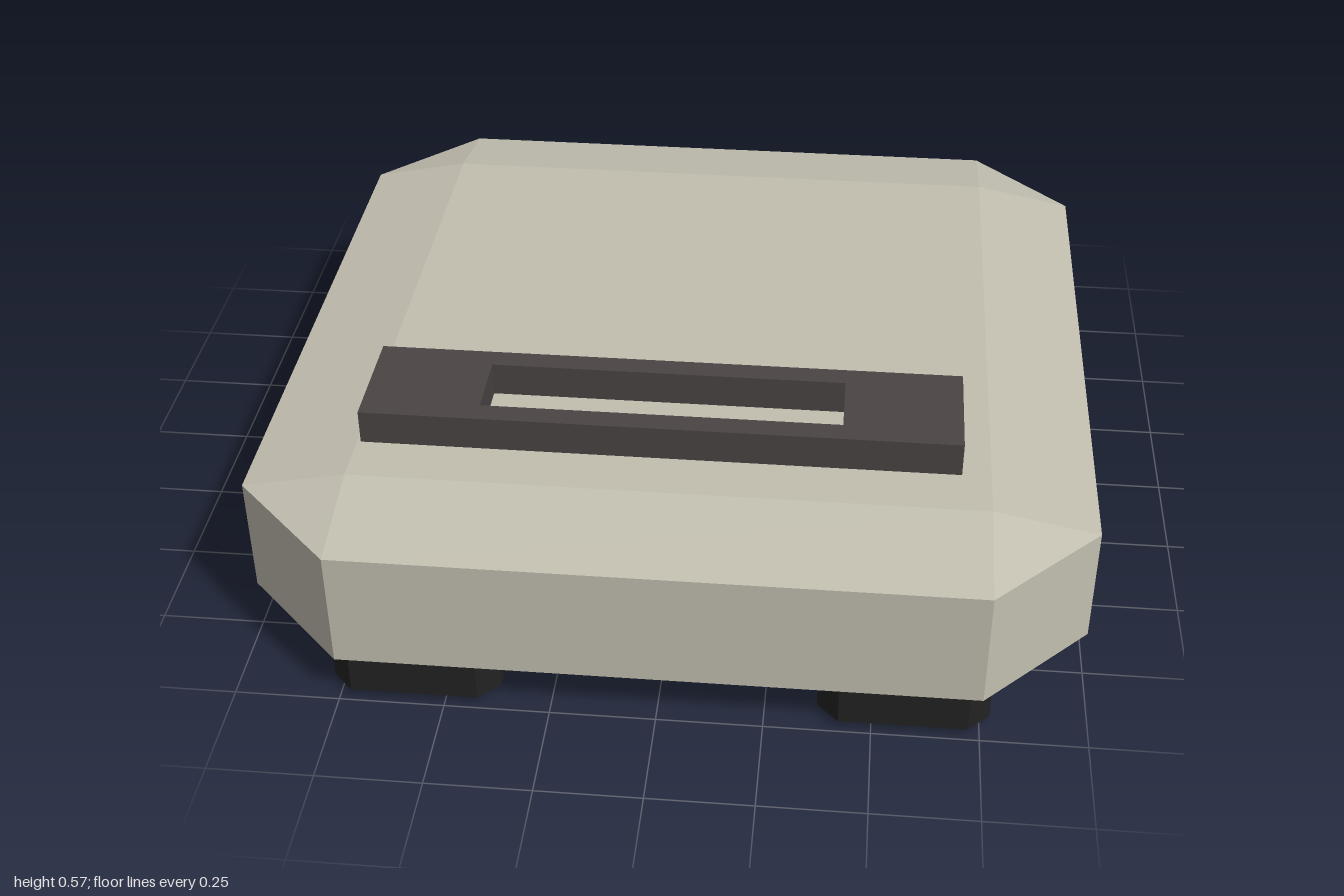
import * as THREE from 'three';
import { ConvexGeometry } from 'three/addons/geometries/ConvexGeometry.js';

// Box centred on x and z, with every edge and corner cut flat:
// cut is the inset in x and z, cutY the inset in y.
function chamferedBox(width, y0, y1, cut, cutY) {
  const points = [];
  const h = width / 2;
  for (const sx of [-1, 1]) for (const sz of [-1, 1]) {
    for (const [y, inward] of [[y0, 1], [y1, -1]]) {
      points.push(
        new THREE.Vector3(sx * h, y + inward * cutY, sz * (h - cut)),
        new THREE.Vector3(sx * (h - cut), y + inward * cutY, sz * h),
        new THREE.Vector3(sx * (h - cut), y, sz * (h - cut)),
      );
    }
  }
  return new ConvexGeometry(points);
}

const material = (color) => new THREE.MeshStandardMaterial({ color, flatShading: true });

function rectangle(PathType, x0, x1, z0, z1) {
  const path = new PathType();
  path.moveTo(x0, -z1);
  path.lineTo(x1, -z1);
  path.lineTo(x1, -z0);
  path.lineTo(x0, -z0);
  path.closePath();
  return path;
}

export function createModel() {
  const group = new THREE.Group();
  const add = (name, geometry, mat) => {
    const mesh = new THREE.Mesh(geometry, mat);
    mesh.name = name;
    group.add(mesh);
    return mesh;
  };

  // Wide slab with bevelled rim
  add('body', chamferedBox(2, 0.075, 0.475, 0.25, 0.05), material(0xc2bfb0));

  // Flat rectangular frame hovering just above the slab, slightly off centre
  const outline = rectangle(THREE.Shape, -0.735, 0.68, 0.36, 0.64);
  outline.holes.push(rectangle(THREE.Path, -0.455, 0.4, 0.415, 0.585));
  const frame = new THREE.ExtrudeGeometry(outline, { depth: 0.085, bevelEnabled: false });
  frame.rotateX(-Math.PI / 2);
  add('topFrame', frame, material(0x4a4444)).position.y = 0.49;

  // Four bevelled feet
  const footGeometry = chamferedBox(0.4, 0, 0.15, 0.05, 0.018);
  const footMaterial = material(0x222222);
  for (const [sx, side] of [[1, 'Left'], [-1, 'Right']]) {
    for (const [sz, end] of [[1, 'front'], [-1, 'back']]) {
      add(`${end}${side}Foot`, footGeometry, footMaterial)
        .position.set(sx * 0.573, 0, sz * 0.785);
    }
  }

  return group;
}
